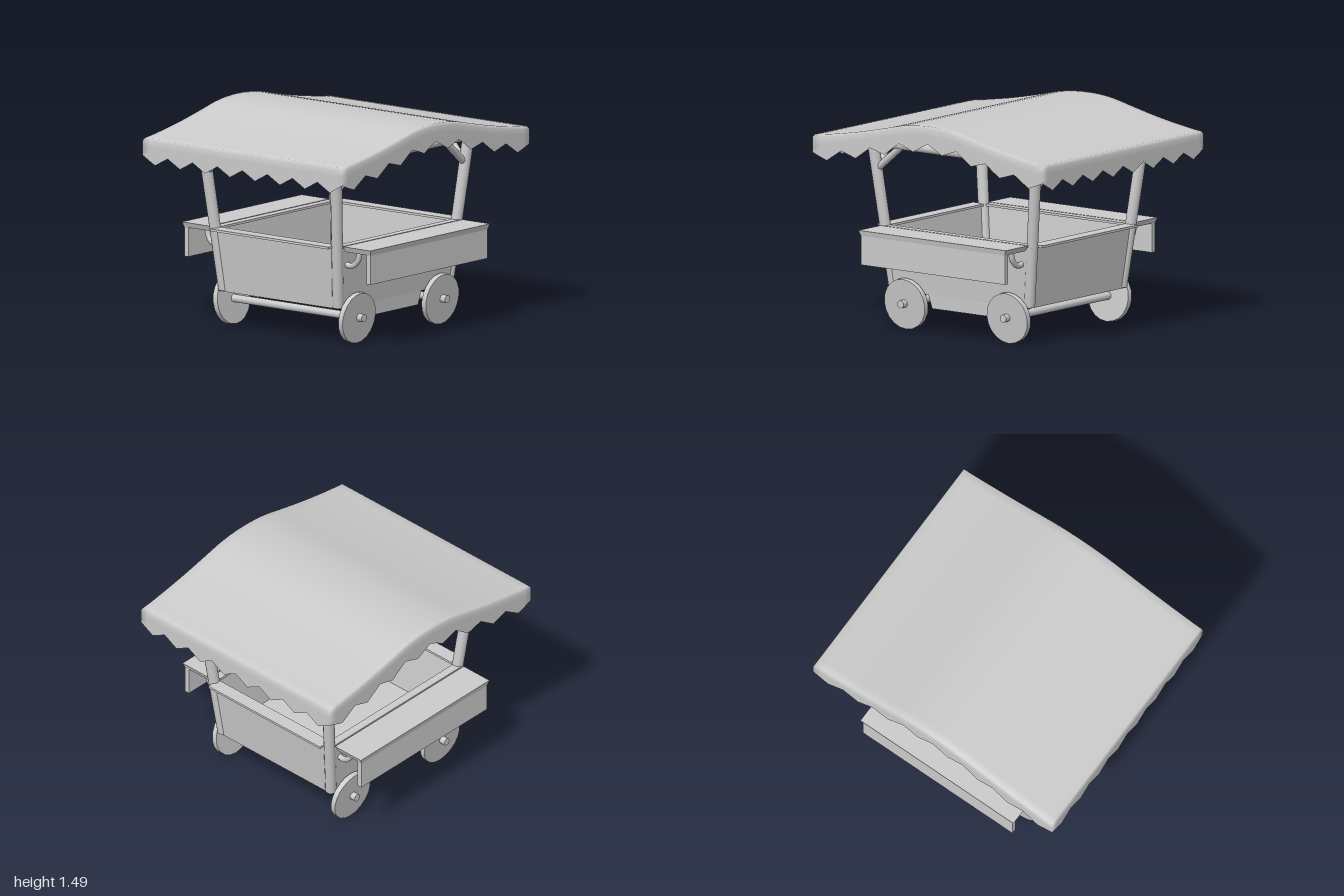
import * as THREE from 'three';
import { mergeGeometries, mergeVertices } from 'three/addons/utils/BufferGeometryUtils.js';

const mat = new THREE.MeshStandardMaterial({ color: 0xcccccc });
const thin = new THREE.MeshStandardMaterial({ color: 0xcccccc, side: THREE.DoubleSide });
const V = (x, y, z) => new THREE.Vector3(x, y, z);
const SIDES = [1, -1];

function add(parent, name, geometry, material = mat) {
  const mesh = new THREE.Mesh(geometry, material);
  mesh.name = name;
  parent.add(mesh);
  return mesh;
}

// Round rod between two points
function rod(parent, name, a, b, r0, r1 = r0, sides = 14) {
  const dir = b.clone().sub(a);
  const mesh = add(parent, name, new THREE.CylinderGeometry(r1, r0, dir.length(), sides));
  mesh.position.copy(a).add(b).multiplyScalar(0.5);
  mesh.quaternion.setFromUnitVectors(V(0, 1, 0), dir.normalize());
  return mesh;
}

// Stack of rectangles [half width, y, half depth], closed at both ends
function loft(rings) {
  const pos = [];
  const corners = ([x, y, z]) => [[x, y, z], [x, y, -z], [-x, y, -z], [-x, y, z]];
  const quad = (a, b, c, d) => pos.push(...a, ...b, ...c, ...a, ...c, ...d);
  for (let r = 0; r < rings.length - 1; r++) {
    const lo = corners(rings[r]), hi = corners(rings[r + 1]);
    for (let i = 0; i < 4; i++) {
      const j = (i + 1) % 4;
      quad(lo[i], lo[j], hi[j], hi[i]);
    }
  }
  quad(...corners(rings[0]).reverse());
  quad(...corners(rings[rings.length - 1]));
  const g = new THREE.BufferGeometry();
  g.setAttribute('position', new THREE.Float32BufferAttribute(pos, 3));
  g.computeVertexNormals();
  return g;
}

// Grid surface from fn(u, v)
function sheet(fn, nu, nv) {
  const pos = [], index = [];
  for (let i = 0; i <= nu; i++) for (let j = 0; j <= nv; j++) pos.push(...fn(i / nu, j / nv));
  for (let i = 0; i < nu; i++) for (let j = 0; j < nv; j++) {
    const a = i * (nv + 1) + j, b = a + nv + 1;
    index.push(a, b, b + 1, a, b + 1, a + 1);
  }
  const g = new THREE.BufferGeometry();
  g.setAttribute('position', new THREE.Float32BufferAttribute(pos, 3));
  g.setIndex(index);
  return g;
}

// Curved canopy with a zigzag valance all round
function canopyGeometry() {
  const W = 0.88, D = 1, inset = 0.012, N = 32;
  const crest = new THREE.SplineCurve([[-1, 1.335], [-0.8, 1.362], [-0.6, 1.397], [-0.4, 1.44],
    [-0.2, 1.483], [0, 1.497], [0.2, 1.483], [0.4, 1.44], [0.6, 1.397], [0.8, 1.362], [1, 1.335]]
    .map(p => new THREE.Vector2(...p)));
  const height = z => crest.getPoint((z + 1) / 2).y;
  const top = sheet((u, v) => {
    const z = v * 2 - 1;
    return [(1 - 2 * u) * (W - inset), height(z), z * (D - inset)];
  }, N, N);
  // Eight teeth per edge
  const hem = s => 0.122 + 0.06 * (1 - Math.abs(((s * 8) % 1) * 2 - 1));
  const edge = (sx, sz, alongX) => sheet((u, v) => {
    const row = Math.round(v * 4), k = row === 0 ? inset : 0;
    const drop = [0, 0.02, 0.06, 0.1, hem(u)][row];
    const t = u * 2 - 1;
    const x = alongX ? -t * sz : sx, z = alongX ? sz : t * sx;
    return [x * (W - k), height(z) - drop, z * (D - k)];
  }, N, 4);
  const g = mergeVertices(mergeGeometries([top,
    edge(1, 0, false), edge(-1, 0, false), edge(0, 1, true), edge(0, -1, true)]), 1e-4);
  g.computeVertexNormals();
  return g;
}

export function createModel() {
  const cart = new THREE.Group();
  cart.name = 'marketCart';

  // Open tapered tub
  add(cart, 'body', loft([[0.53, 0.26, 0.61], [0.57, 0.695, 0.66], [0.54, 0.695, 0.63], [0.505, 0.29, 0.585]]));

  add(cart, 'canopy', canopyGeometry(), thin);

  for (const s of SIDES) {
    // Front and back counter ledges
    const ledge = add(cart, 'ledge', new THREE.BoxGeometry(1.04, 0.016, 0.1));
    ledge.position.set(0, 0.697, s * 0.665);

    // Side top rail
    const rail = add(cart, 'sideRail', new THREE.BoxGeometry(0.06, 0.016, 1.26));
    rail.position.set(s * 0.55, 0.697, 0);

    // Skirt board between the wheels
    const skirt = add(cart, 'skirt', loft([[0.026, 0.165, 0.245], [0.03, 0.275, 0.28]]));
    skirt.position.x = s * 0.495;

    // Folding side shelf with hanging apron
    const shelf = new THREE.Group();
    shelf.name = 'sideShelf';
    const plate = add(shelf, 'shelfTop', loft([[0.112, 0.668, 0.625], [0.12, 0.705, 0.64]]));
    plate.position.x = s * 0.71;
    const apron = add(shelf, 'shelfApron', new THREE.BoxGeometry(0.036, 0.21, 1.25));
    apron.position.set(s * 0.803, 0.572, 0);
    for (const t of SIDES) {
      const path = new THREE.CatmullRomCurve3([V(s * 0.53, 0.57, t * 0.56), V(s * 0.605, 0.562, t * 0.56),
        V(s * 0.655, 0.605, t * 0.56), V(s * 0.675, 0.675, t * 0.56)]);
      add(shelf, 'shelfBracket', new THREE.TubeGeometry(path, 12, 0.02, 10), thin);
    }
    cart.add(shelf);

    // Roof beams
    rod(cart, 'sideBeam', V(s * 0.585, 1.28, -0.73), V(s * 0.585, 1.28, 0.73), 0.034);
    rod(cart, 'crossBeam', V(-0.62, 1.28, s * 0.71), V(0.62, 1.28, s * 0.71), 0.034);

    // Axle, running past the wheels as a small hub
    rod(cart, 'axle', V(-0.615, 0.185, s * 0.445), V(0.615, 0.185, s * 0.445), 0.027);

    for (const t of SIDES) {
      // Splayed corner post with two braces
      rod(cart, 'post', V(s * 0.503, 0.27, t * 0.588), V(s * 0.585, 1.29, t * 0.71), 0.038, 0.041);
      rod(cart, 'brace', V(s * 0.568, 1.09, t * 0.685), V(s * 0.4, 1.26, t * 0.71), 0.025);
      rod(cart, 'brace', V(s * 0.568, 1.09, t * 0.685), V(s * 0.585, 1.27, t * 0.46), 0.025);

      // Leaning wheel
      const wheel = add(cart, 'wheel', new THREE.CylinderGeometry(0.176, 0.176, 0.038, 20));
      wheel.position.set(s * 0.552, 0.182, t * 0.445);
      wheel.rotation.z = s * (Math.PI / 2 - 0.11);
    }
  }
  return cart;
}
